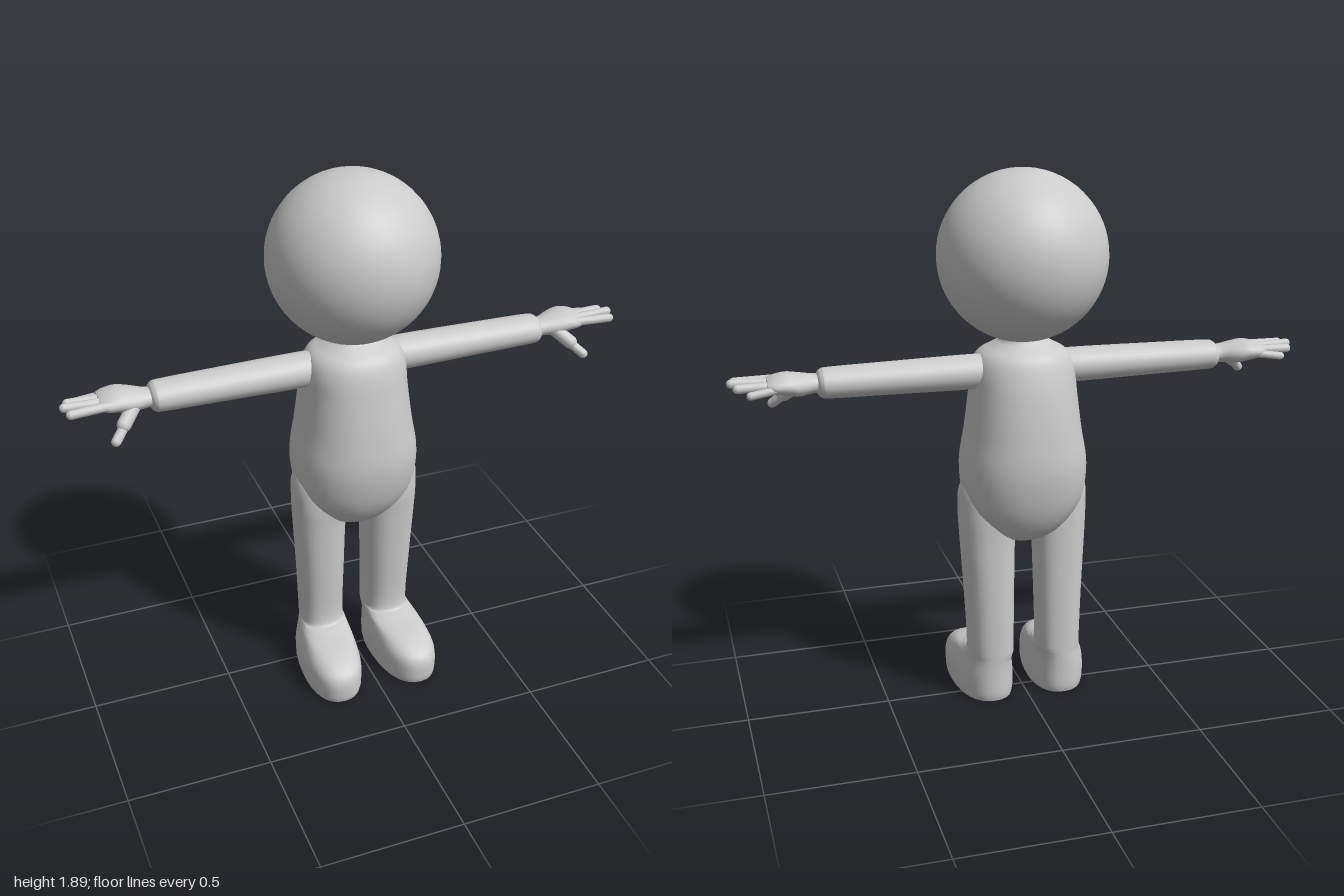
import * as THREE from 'three';

const material = new THREE.MeshStandardMaterial({ color: 0xcccccc });

// Smooth body through rings [t, u0, u1, v0, v1]; place(t, u, v) gives the point
function loft(rings, place, power = 1, sides = 32, sub = 5) {
  const pos = [], index = [];
  const round = (c) => Math.sign(c) * Math.abs(c) ** power;
  const point = (t, u, v) => { pos.push(...place(t, u, v)); };
  const at = (i) => rings[Math.min(Math.max(i, 0), rings.length - 1)];
  const spline = (i, f) => at(i).map((b, k) => {
    const a = at(i - 1)[k], c = at(i + 1)[k], d = at(i + 2)[k];
    return b + 0.5 * f * (c - a + f * (2 * a - 5 * b + 4 * c - d + f * (3 * (b - c) + d - a)));
  });
  const ring = ([t, u0, u1, v0, v1]) => {
    for (let j = 0; j < sides; j++) {
      const a = (j / sides) * Math.PI * 2;
      point(t, (u0 + u1) / 2 + (u1 - u0) / 2 * round(Math.cos(a)),
        (v0 + v1) / 2 + (v1 - v0) / 2 * round(Math.sin(a)));
    }
  };
  const count = (rings.length - 1) * sub;
  for (let i = 0; i <= count; i++) ring(spline(Math.floor(i / sub), (i % sub) / sub));
  for (let i = 0; i < count; i++) {
    for (let j = 0; j < sides; j++) {
      const a = i * sides + j, b = i * sides + (j + 1) % sides;
      index.push(a, a + sides, b, b, a + sides, b + sides);
    }
  }
  // flat end caps with their own corners
  [rings[0], rings[rings.length - 1]].forEach((r, end) => {
    const start = pos.length / 3;
    ring(r);
    point(r[0], (r[1] + r[2]) / 2, (r[3] + r[4]) / 2);
    for (let j = 0; j < sides; j++) {
      const a = start + j, b = start + (j + 1) % sides;
      index.push(start + sides, ...(end ? [b, a] : [a, b]));
    }
  });
  const geo = new THREE.BufferGeometry();
  geo.setAttribute('position', new THREE.Float32BufferAttribute(pos, 3));
  geo.setIndex(index);
  geo.computeVertexNormals();
  return geo;
}

// Rounded rod between two points
function rod(from, to, radius) {
  const a = new THREE.Vector3(...from), b = new THREE.Vector3(...to);
  const dir = b.clone().sub(a);
  const geo = new THREE.CapsuleGeometry(radius, dir.length(), 6, 14);
  geo.applyQuaternion(new THREE.Quaternion().setFromUnitVectors(
    new THREE.Vector3(0, 1, 0), dir.normalize()));
  const mid = a.add(b).multiplyScalar(0.5);
  return geo.translate(mid.x, mid.y, mid.z);
}

// Mirror across x and turn the faces back outward
function mirror(geo) {
  const m = geo.clone().scale(-1, 1, 1);
  const ix = m.index.array;
  for (let i = 0; i < ix.length; i += 3) [ix[i], ix[i + 1]] = [ix[i + 1], ix[i]];
  m.computeVertexNormals();
  return m;
}

export function createModel() {
  const model = new THREE.Group();
  const add = (name, geo) => {
    const mesh = new THREE.Mesh(geo, material);
    mesh.name = name;
    model.add(mesh);
  };
  const addPair = (name, geo) => {
    add('left' + name, geo);
    add('right' + name, mirror(geo));
  };
  const upright = (t, u, v) => [u, t, v];
  const sideways = (t, u, v) => [t, v, u];

  // head
  add('head', new THREE.SphereGeometry(0.29, 48, 32).translate(0, 1.6, -0.01));

  // torso with neck
  add('torso', loft([
    [0.588, -0.015, 0.015, -0.03, 0.02],
    [0.605, -0.075, 0.075, -0.09, 0.065],
    [0.65, -0.14, 0.14, -0.145, 0.122],
    [0.74, -0.205, 0.205, -0.19, 0.172],
    [0.87, -0.222, 0.222, -0.214, 0.199],
    [1.0, -0.202, 0.202, -0.207, 0.191],
    [1.13, -0.186, 0.186, -0.188, 0.172],
    [1.22, -0.178, 0.178, -0.165, 0.155],
    [1.27, -0.155, 0.155, -0.142, 0.132],
    [1.3, -0.105, 0.105, -0.105, 0.09],
    [1.32, -0.08, 0.08, -0.085, 0.065],
    [1.36, -0.08, 0.08, -0.08, 0.06],
  ], upright, 0.9, 40));

  // leg and foot in one piece, toes turned slightly out
  addPair('Leg', loft([
    [0, 0.034, 0.236, -0.105, 0.3],
    [0.025, 0.03, 0.24, -0.11, 0.305],
    [0.08, 0.03, 0.24, -0.11, 0.303],
    [0.115, 0.035, 0.232, -0.11, 0.278],
    [0.145, 0.04, 0.22, -0.11, 0.21],
    [0.167, 0.043, 0.21, -0.11, 0.105],
    [0.2, 0.046, 0.207, -0.11, 0.067],
    [0.4, 0.042, 0.215, -0.108, 0.076],
    [0.6, 0.036, 0.226, -0.105, 0.086],
    [0.7, 0.025, 0.23, -0.105, 0.092],
    [0.79, 0.03, 0.225, -0.095, 0.08],
    [0.87, 0.06, 0.18, -0.05, 0.04],
  ], (t, u, v) => [u + 0.05 * v, t, v], 0.85));

  // arm, ending in a rounded cuff
  addPair('Arm', loft([
    [0.08, -0.08, 0.045, 1.155, 1.27],
    [0.2, -0.085, 0.05, 1.153, 1.272],
    [0.45, -0.084, 0.048, 1.157, 1.268],
    [0.66, -0.081, 0.045, 1.16, 1.264],
    [0.695, -0.076, 0.04, 1.165, 1.259],
    [0.708, -0.058, 0.022, 1.18, 1.244],
  ], sideways));

  // wrist and palm
  addPair('Palm', loft([
    [0.69, -0.06, 0.024, 1.18, 1.245],
    [0.72, -0.062, 0.026, 1.182, 1.246],
    [0.77, -0.088, 0.036, 1.178, 1.255],
    [0.81, -0.098, 0.04, 1.185, 1.26],
    [0.85, -0.097, 0.04, 1.193, 1.252],
    [0.872, -0.085, 0.03, 1.205, 1.242],
  ], sideways));

  // fingers from index to little: [z at root, z at tip, y at tip, x at tip]
  [
    [0.022, 0.03, 1.224, 0.972],
    [-0.013, -0.012, 1.23, 0.985],
    [-0.048, -0.053, 1.222, 0.968],
    [-0.08, -0.088, 1.205, 0.93],
  ].forEach(([z0, z1, y, x], i) => addPair('Finger' + (i + 1),
    rod([0.83, 1.228 - i * 0.003, z0], [x, y, z1], i === 3 ? 0.0135 : 0.0155)));

  // thumb with a thicker root
  addPair('ThumbRoot', rod([0.765, 1.205, 0.008], [0.81, 1.165, 0.05], 0.024));
  addPair('Thumb', rod([0.79, 1.18, 0.035], [0.846, 1.128, 0.083], 0.0165));

  return model;
}
